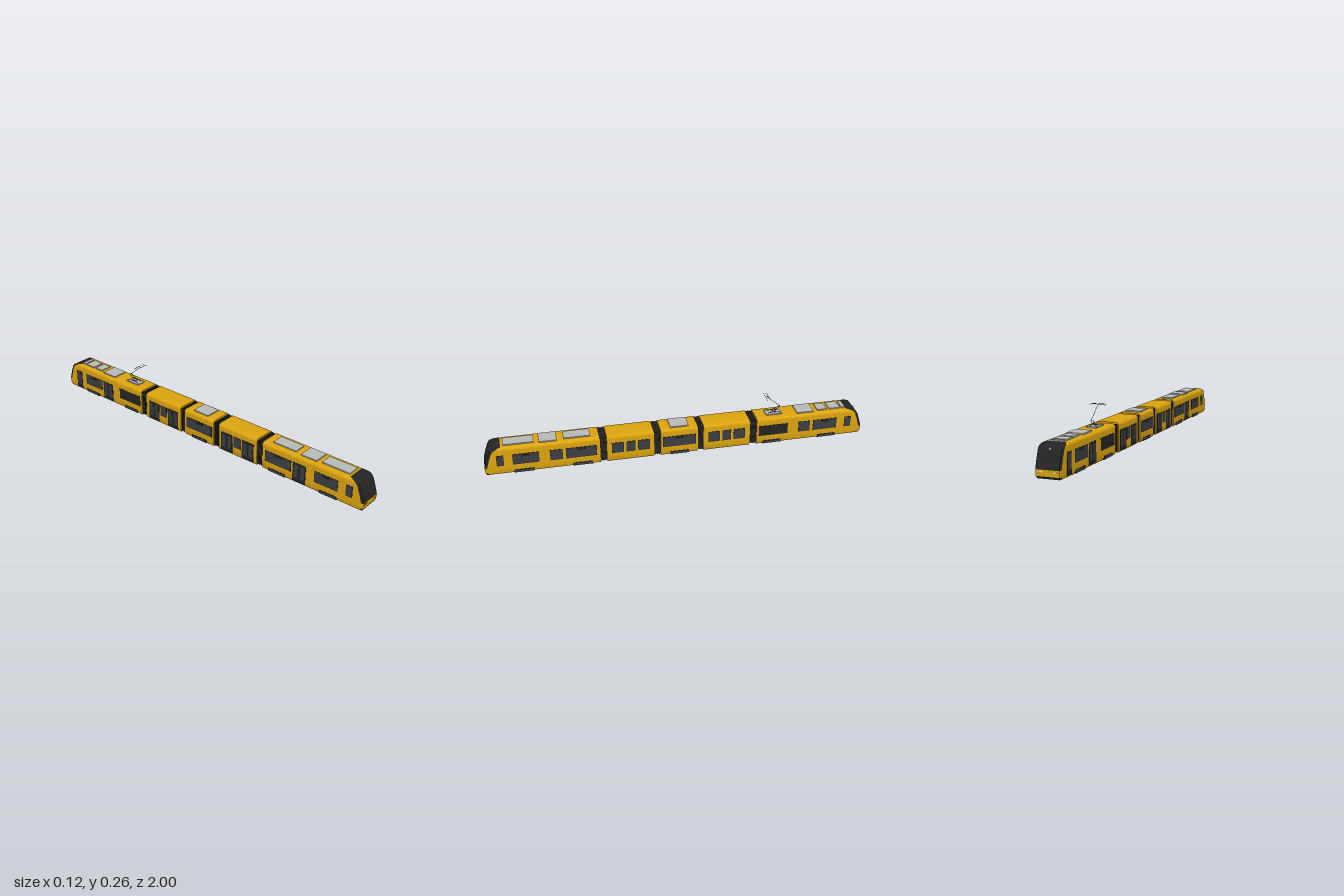
import * as THREE from 'three';
import { toCreasedNormals } from 'three/addons/utils/BufferGeometryUtils.js';

const mat = (name, color) => Object.assign(new THREE.MeshStandardMaterial({ color }), { name });

// half cross-section of the body: half width, height, and z of the sloping nose there
const PROFILE = [
  [0.056, 0.012, 0.992], [0.0605, 0.023, 0.998], [0.0605, 0.053, 1.0], [0.0605, 0.1, 0.986],
  [0.0605, 0.135, 0.973], [0.0605, 0.146, 0.965], [0.0594, 0.1515, 0.957],
  [0.0564, 0.156, 0.946], [0.052, 0.159, 0.935], [0.0465, 0.16, 0.925],
];
const N = PROFILE.length;

export function createModel() {
  const yellow = mat('yellow paint', 0xdba40f);
  const black = mat('black trim', 0x242424);
  const glass = mat('window glass', 0x3c3d42);
  const roofGrey = mat('roof equipment grey', 0xb9bbb9);
  const steel = mat('dark steel', 0x46484b);
  const red = mat('red lamp', 0xd81c12);
  const white = mat('white lamp', 0xf0f0ea);
  const model = new THREE.Group();
  model.name = 'tram';

  const add = (parent, name, geo, material, x = 0, y = 0, z = 0) => {
    const m = new THREE.Mesh(geo, material);
    m.name = name;
    m.position.set(x, y, z);
    parent.add(m);
    return m;
  };
  const box = (parent, name, material, w, h, d, x, y, z) =>
    add(parent, name, new THREE.BoxGeometry(w, h, d), material, x, y, z);
  const rod = (parent, name, material, r, a, b) => {
    const p = new THREE.Vector3(...a), q = new THREE.Vector3(...b);
    const curve = new THREE.LineCurve3(p, q);
    return add(parent, name, new THREE.TubeGeometry(curve, 1, r, 6), material);
  };

  // Body shell lofted along z; a station is { w: width factor, z: row => z }
  function shell(parent, name, stations, cab) {
    const out = { paint: [], dark: [] };
    const quad = (dark, a, b, c, d) => out[dark ? 'dark' : 'paint'].push(...a, ...b, ...c, ...a, ...c, ...d);
    const row = k => (k < N ? k : 2 * N - 1 - k);
    const pt = (s, k) => {
      const p = PROFILE[row(k)];
      return [(k < N ? 1 : -1) * p[0] * s.w, p[1], s.z(p)];
    };
    const isDark = (r1, r2) => {
      const y = (PROFILE[r1][1] + PROFILE[r2][1]) / 2;
      return cab && (y > 0.053 || y < 0.023);
    };
    for (let j = 0; j < stations.length - 1; j++) {
      for (let k = 0; k < 2 * N; k++) {
        const k2 = (k + 1) % (2 * N), s = stations[j], t = stations[j + 1];
        quad(j > 0 && isDark(row(k), row(k2)), pt(s, k), pt(s, k2), pt(t, k2), pt(t, k));
      }
    }
    const first = stations[0], last = stations[stations.length - 1];
    for (let i = 0; i < N - 1; i++) {
      const l = 2 * N - 1 - i;
      quad(isDark(i, i + 1), pt(last, i), pt(last, i + 1), pt(last, l - 1), pt(last, l));
      quad(false, pt(first, l), pt(first, l - 1), pt(first, i + 1), pt(first, i));
    }
    for (const [key, material] of [['paint', yellow], ['dark', black]]) {
      if (!out[key].length) continue;
      const g = new THREE.BufferGeometry();
      g.setAttribute('position', new THREE.Float32BufferAttribute(out[key], 3));
      add(parent, key === 'paint' ? name : 'windscreenAndBumper', toCreasedNormals(g, 0.6), material);
    }
  }

  // End cars with raked noses and lamps
  function cabCar(name, lampMaterial) {
    const g = new THREE.Group();
    g.name = name;
    shell(g, 'cabBody', [
      { w: 1, z: () => 0.415 }, { w: 1, z: p => p[2] - 0.013 },
      { w: 0.98, z: p => p[2] - 0.004 }, { w: 0.93, z: p => p[2] },
    ], true);
    box(g, 'destinationLamp', lampMaterial, 0.011, 0.006, 0.008, 0, 0.14, 0.968);
    for (const s of [1, -1]) {
      box(g, 'headlight', lampMaterial, 0.013, 0.005, 0.003, s * 0.032, 0.044, 0.9988);
      const lamp = add(g, 'roundLamp', new THREE.CylinderGeometry(0.003, 0.003, 0.003, 12), lampMaterial, s * 0.046, 0.041, 0.9988);
      lamp.rotation.x = Math.PI / 2;
    }
    model.add(g);
    return g;
  }
  cabCar('frontCar', red);
  cabCar('rearCar', white).rotation.y = Math.PI;

  // Middle cars
  for (const [name, a, b] of [['secondCar', 0.135, 0.38], ['middleCar', -0.097, 0.1], ['fourthCar', -0.377, -0.127]])
    shell(model, name, [{ w: 1, z: () => a }, { w: 1, z: () => b }], false);

  // Ribbed bellows between the cars
  for (const [a, b] of [[0.38, 0.415], [0.1, 0.135], [-0.127, -0.097], [-0.415, -0.377]]) {
    const g = new THREE.Group();
    g.name = 'bellows';
    const n = 7, step = (b - a) / n;
    for (let i = 0; i < n; i++) {
      const inset = i % 2 ? 0 : 0.004;
      box(g, 'bellowsFold', black, 0.113 - inset, 0.134 - inset, step, 0, 0.086, a + (i + 0.5) * step);
    }
    model.add(g);
  }

  // Windows and doors are thin plates on the side walls
  const SIDE = 0.0605;
  function sideWindow(s, z0, z1, plain, louvre) {
    const w = z1 - z0, z = (z0 + z1) / 2;
    box(model, 'windowFrame', black, 0.002, 0.06, w, s * SIDE, 0.09, z);
    if (!plain) box(model, 'windowPane', glass, 0.003, 0.054, w - 0.006, s * SIDE, 0.09, z);
    if (louvre) box(model, 'windowVent', black, 0.004, 0.014, 0.045, s * SIDE, 0.11, z);
  }
  function door(s, z0, z1, leaves) {
    const w = (z1 - z0) / leaves;
    box(model, 'door', black, 0.003, 0.102, z1 - z0, s * SIDE, 0.07, (z0 + z1) / 2);
    for (let i = 0; i < leaves; i++)
      box(model, 'doorPane', glass, 0.004, 0.075, w - 0.014, s * SIDE, 0.076, z0 + (i + 0.5) * w);
  }
  const bigWindows = [
    [0.725, 0.858, false, true], [0.432, 0.59, false, true], [-0.085, 0.088, false, true],
    [-0.585, -0.427, true, false], [-0.858, -0.725, false, true],
    [0.233, 0.28, false, false], [-0.275, -0.228, false, false], [0.902, 0.938, false, false],
  ];
  const doors = [[0.6, 0.676], [0.287, 0.361], [0.152, 0.225], [-0.22, -0.147], [-0.356, -0.283], [-0.714, -0.639]];
  for (const s of [1, -1]) {
    for (const [a, b, plain, louvre] of bigWindows) sideWindow(s, a, b, plain, louvre);
    for (const [a, b] of doors) s < 0 ? door(s, a, b, 2) : sideWindow(s, a + 0.006, b - 0.006);
  }
  door(-1, -0.935, -0.893, 1);
  sideWindow(1, -0.938, -0.902);

  // Bogies: dark wheel well, side frames and wheels
  for (const z of [0.805, 0.505, 0, -0.5, -0.805]) {
    const g = new THREE.Group();
    g.name = 'bogie';
    box(g, 'wheelWell', black, 0.1222, 0.018, 0.1, 0, 0.0205, 0);
    for (const s of [1, -1]) {
      box(g, 'sideFrame', steel, 0.006, 0.006, 0.09, s * 0.041, 0.0095, 0);
      box(g, 'arch', steel, 0.002, 0.01, 0.086, s * 0.061, 0.019, 0);
      for (const dz of [-0.032, 0.032]) {
        const wheel = add(g, 'wheel', new THREE.CylinderGeometry(0.014, 0.014, 0.005, 18), black, s * 0.0355, 0.014, dz);
        wheel.rotation.z = Math.PI / 2;
      }
    }
    g.position.z = z;
    model.add(g);
  }

  // Roof equipment boxes: half width, z range
  for (const [hw, a, b] of [
    [0.033, 0.46, 0.595], [0.042, 0.63, 0.72], [0.033, 0.745, 0.9], [0.042, -0.05, 0.046],
    [0.042, -0.73, -0.64], [0.033, -0.805, -0.755], [0.033, -0.88, -0.82], [0.033, -0.91, -0.89], [0.026, -0.56, -0.475],
  ]) box(model, 'roofBox', roofGrey, hw * 2, 0.007, b - a, 0, 0.1625, (a + b) / 2);

  // Pantograph
  const panto = new THREE.Group();
  panto.name = 'pantograph';
  for (const s of [1, -1]) {
    for (const z of [-0.485, -0.55])
      add(panto, 'insulator', new THREE.CylinderGeometry(0.002, 0.002, 0.004, 8), black, s * 0.022, 0.167, z);
    rod(panto, 'lowerArm', black, 0.0014, [s * 0.012, 0.169, -0.515], [s * 0.004, 0.196, -0.555]);
    rod(panto, 'baseRail', black, 0.0012, [s * 0.012, 0.169, -0.485], [s * 0.012, 0.169, -0.55]);
  }
  rod(panto, 'baseBar', black, 0.0014, [-0.014, 0.169, -0.515], [0.014, 0.169, -0.515]);
  rod(panto, 'knee', black, 0.0014, [-0.005, 0.196, -0.555], [0.005, 0.196, -0.555]);
  rod(panto, 'upperArm', black, 0.0011, [0, 0.196, -0.555], [0, 0.261, -0.478]);
  rod(panto, 'headLink', black, 0.001, [0, 0.261, -0.488], [0, 0.261, -0.47]);
  for (const z of [-0.487, -0.471]) {
    rod(panto, 'contactStrip', black, 0.001, [-0.029, 0.262, z], [0.029, 0.262, z]);
    for (const s of [1, -1]) rod(panto, 'horn', black, 0.001, [s * 0.029, 0.262, z], [s * 0.04, 0.257, z]);
  }
  model.add(panto);
  return model;
}
